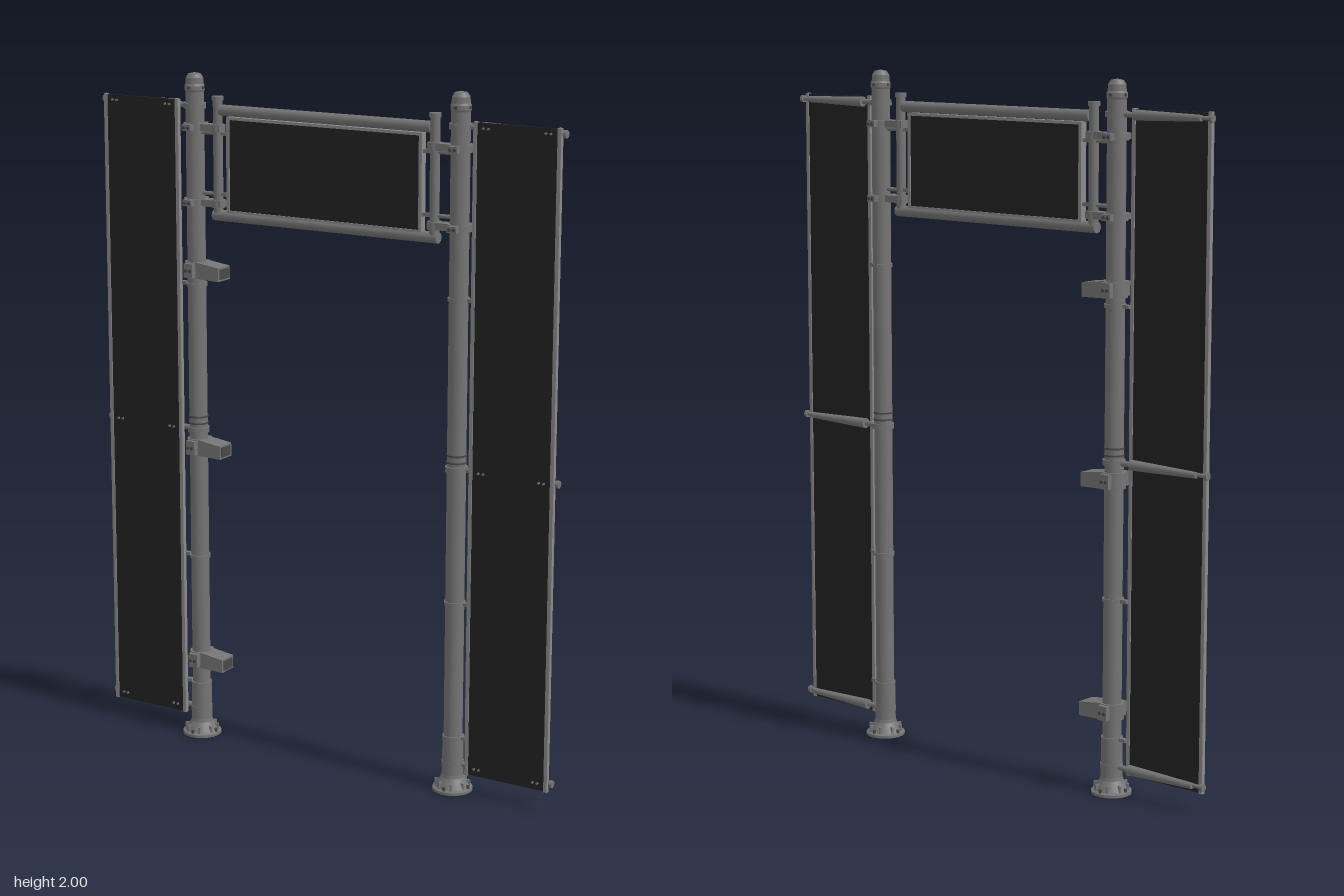
import * as THREE from 'three';

const mat = (name, color) => {
  const m = new THREE.MeshStandardMaterial({ color });
  m.name = name;
  return m;
};

export function createModel() {
  const steel = mat('grey steel', 0x747474);
  const trim = mat('light steel', 0x8a8a8a);
  const dark = mat('dark steel', 0x484848);
  const black = mat('black panel', 0x232323);
  const root = new THREE.Group();
  root.name = 'signGateway';

  const add = (parent, name, geo, m, x = 0, y = 0, z = 0) => {
    const mesh = new THREE.Mesh(geo, m);
    mesh.name = name;
    mesh.position.set(x, y, z);
    parent.add(mesh);
    return mesh;
  };
  const box = (p, name, m, w, h, d, x, y, z) => add(p, name, new THREE.BoxGeometry(w, h, d), m, x, y, z);
  // upright cylinder
  const cyl = (p, name, m, r, h, x, y, z, seg = 20) => add(p, name, new THREE.CylinderGeometry(r, r, h, seg), m, x, y, z);
  // cylinder along x or z
  const barX = (p, name, m, r, x0, x1, y, z, r1 = r) => {
    const c = add(p, name, new THREE.CylinderGeometry(r1, r, Math.abs(x1 - x0), 14), m, (x0 + x1) / 2, y, z);
    c.rotation.z = x1 > x0 ? -Math.PI / 2 : Math.PI / 2;
    return c;
  };
  const barZ = (p, name, m, r, len, x, y, z) => {
    const c = add(p, name, new THREE.CylinderGeometry(r, r, len, 8), m, x, y, z);
    c.rotation.x = Math.PI / 2;
    return c;
  };

  const poleX = 0.435;
  const poleR = 0.027;

  // Pole with flange, collars and domed cap
  const makePole = (side) => {
    const pole = new THREE.Group();
    pole.name = side < 0 ? 'rightPole' : 'leftPole';
    pole.position.x = side * poleX;
    root.add(pole);
    const profile = [[0.058, 0], [0.058, 0.008], [0.05, 0.012], [0.042, 0.026], [0.033, 0.04], [0.031, 0.05],
      [0.03, 0.155], [poleR, 0.165], [poleR, 1.945], [0.029, 1.95], [0.029, 1.962], [0.026, 1.968],
      [0.025, 1.985], [0.018, 1.996], [0, 2]];
    // duplicated points keep the profile edges crisp
    const pts = [];
    profile.forEach(([r, y], i) => {
      const v = new THREE.Vector2(r, y);
      pts.push(v);
      if (i > 0 && i < profile.length - 1) pts.push(v.clone());
    });
    const shaft = new THREE.LatheGeometry(pts, 24).toNonIndexed();
    add(pole, 'shaft', shaft, steel);
    const foot = add(pole, 'footUnderside', new THREE.CircleGeometry(0.058, 24), dark);
    foot.rotation.x = Math.PI / 2;
    // gussets and anchor bolts around the foot
    for (let i = 0; i < 8; i++) {
      const a = (i + 0.5) * Math.PI / 4;
      const g = box(pole, 'footGusset', steel, 0.02, 0.024, 0.006, Math.cos(a) * 0.041, 0.018, Math.sin(a) * 0.041);
      g.rotation.y = -a;
      if (i % 2) cyl(pole, 'anchorBolt', dark, 0.005, 0.012, Math.cos(a + 0.39) * 0.05, 0.014, Math.sin(a + 0.39) * 0.05, 6);
    }
    // cap screws
    for (let i = 0; i < 4; i++) {
      const a = i * Math.PI / 2;
      box(pole, 'capScrew', dark, 0.008, 0.008, 0.008, Math.cos(a) * 0.027, 1.957, Math.sin(a) * 0.027);
    }
    // collars along the shaft
    const hingeY = side < 0 ? 1.385 : 1.43;
    for (const y of [0.16, 0.56, hingeY]) {
      cyl(pole, 'collar', steel, 0.031, 0.01, 0, y, 0);
      box(pole, 'collarTab', steel, 0.022, 0.01, 0.014, side * 0.04, y, 0);
    }
    for (const y of [0.97, 0.99, 1.9]) cyl(pole, 'band', dark, 0.029, 0.005, 0, y, 0);
    return pole;
  };

  // Tall side panel carried on three rear arms
  const makeBanner = (side) => {
    const banner = new THREE.Group();
    banner.name = side < 0 ? 'rightBanner' : 'leftBanner';
    root.add(banner);
    const cx = side * 0.614, cy = 0.99, z = 0.011;
    box(banner, 'bannerPanel', black, 0.244, 1.86, 0.008, cx, cy, z);
    for (const e of [-1, 1]) box(banner, 'bannerEdge', trim, 0.011, 1.864, 0.013, cx + e * 0.126, cy, z);
    for (const y of [0.08, 0.95, 1.905]) {
      barX(banner, 'bannerArm', steel, 0.015, side * 0.5, side * 0.72, y, -0.006, 0.009);
      barX(banner, 'armStub', steel, 0.008, side * 0.455, side * 0.5, y, -0.003);
      barX(banner, 'armTip', steel, 0.006, side * 0.71, side * 0.752, y, 0);
      barX(banner, 'armTipKnob', steel, 0.011, side * 0.746, side * 0.755, y, 0);
      cyl(banner, 'armClamp', steel, 0.032, 0.016, side * poleX, y, 0);
      for (const x of [0.513, 0.528, 0.7, 0.715]) {
        barZ(banner, 'bannerBolt', steel, 0.0035, 0.006, side * x, y, 0.017);
      }
    }
  };

  // Clamp wrapping a pole: ring plus front and back ears
  const clamp = (parent, name, side, y, h) => {
    const g = new THREE.Group();
    g.name = name;
    g.position.set(side * poleX, y, 0);
    parent.add(g);
    cyl(g, 'clampRing', steel, 0.034, h, 0, 0, 0);
    for (const f of [-1, 1]) {
      box(g, 'clampEar', steel, 0.03, h * 0.9, 0.018, 0, 0, f * 0.037);
      barZ(g, 'clampBolt', dark, 0.005, 0.006, 0.007, 0, f * 0.046);
      barZ(g, 'clampBolt', dark, 0.005, 0.006, -0.007, 0, f * 0.046);
    }
    return g;
  };

  for (const side of [-1, 1]) {
    makePole(side);
    makeBanner(side);
  }

  // Overhead sign: tube frame, side posts and inset panel
  const sign = new THREE.Group();
  sign.name = 'overheadSign';
  root.add(sign);
  barX(sign, 'topBeam', steel, 0.016, -0.345, 0.345, 1.897, 0);
  barX(sign, 'bottomBeam', steel, 0.016, -0.37, 0.37, 1.594, 0);
  box(sign, 'signPanel', black, 0.622, 0.262, 0.016, 0, 1.742, 0);
  for (const e of [-1, 1]) {
    box(sign, 'signRail', trim, 0.64, 0.008, 0.022, 0, 1.742 + e * 0.134, 0);
    box(sign, 'signStile', trim, 0.01, 0.276, 0.022, e * 0.316, 1.742, 0);
    cyl(sign, 'framePost', steel, 0.014, 0.34, e * 0.356, 1.765, 0);
    cyl(sign, 'postCap', steel, 0.017, 0.012, e * 0.356, 1.93, 0);
    // straps tying the inset panel to the posts
    for (const y of [1.655, 1.83]) {
      box(sign, 'panelStrap', steel, 0.045, 0.01, 0.012, e * 0.337, y, 0);
      barX(sign, 'poleStrap', steel, 0.006, e * 0.356, e * 0.42, y, 0);
    }
    for (const y of [1.845, 1.628]) {
      clamp(sign, 'signClamp', e, y, 0.02);
      box(sign, 'signBracket', steel, 0.075, 0.02, 0.034, e * 0.378, y, 0);
      cyl(sign, 'bracketCollar', steel, 0.02, 0.022, e * 0.356, y, 0);
    }
  }

  // Angled housings on the right pole
  const outline = new THREE.Shape();
  [[0, -0.024], [0.078, -0.026], [0.078, 0.014], [0.03, 0.02], [0, 0.024]].forEach(([x, y], i) => (
    i ? outline.lineTo(x, y) : outline.moveTo(x, y)));
  const housing = new THREE.ExtrudeGeometry(outline, { depth: 0.06, bevelEnabled: false });
  housing.translate(0, 0, -0.03);
  for (const y of [1.43, 0.9, 0.24]) {
    const unit = new THREE.Group();
    unit.name = 'poleHousing';
    root.add(unit);
    clamp(unit, 'housingClamp', -1, y, 0.046);
    add(unit, 'housingBody', housing, steel, -0.418, y, 0);
    box(unit, 'housingFace', dark, 0.004, 0.03, 0.046, -0.3395, y - 0.006, 0);
  }
  return root;
}
